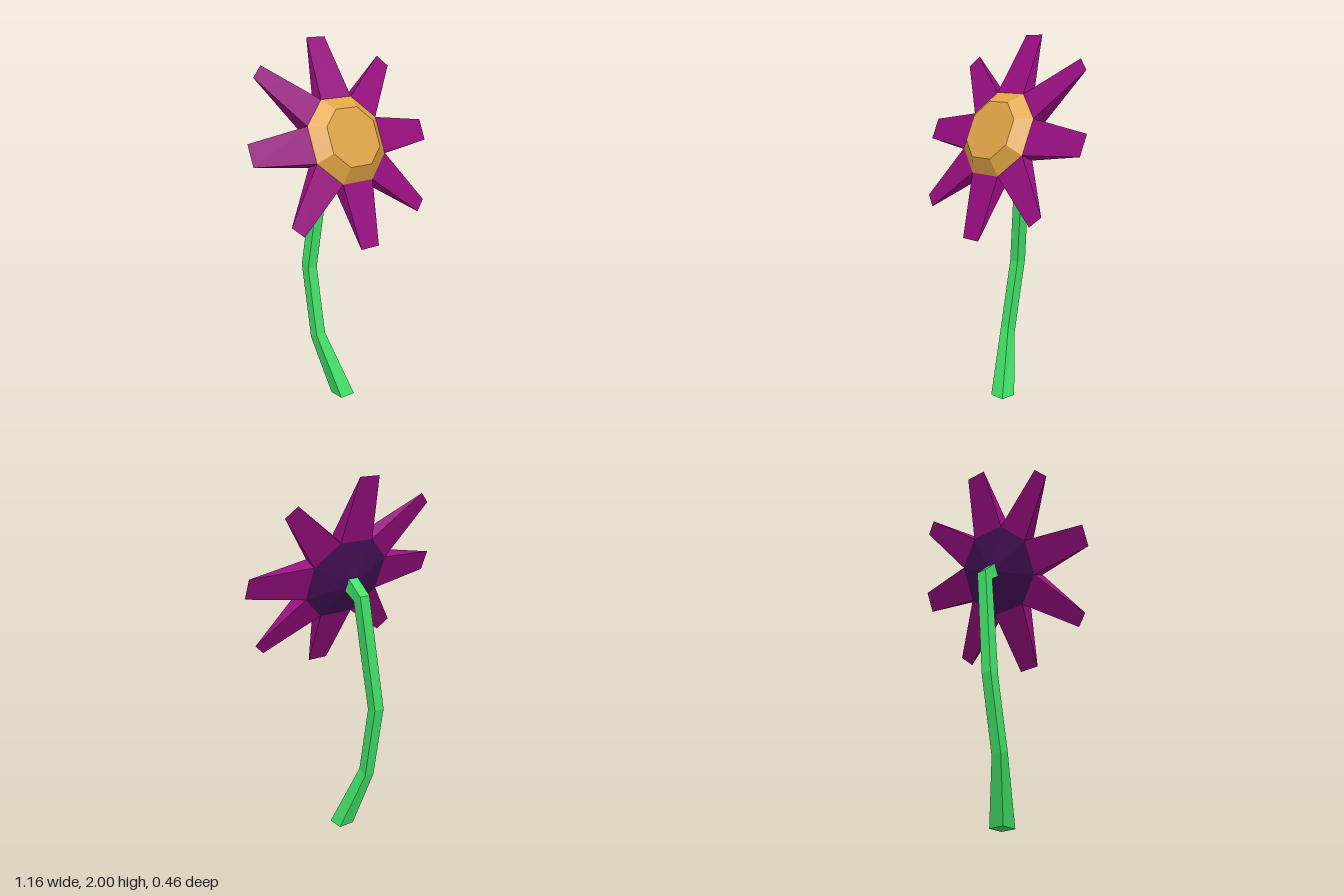
import * as THREE from 'three';

const mat = (name, color, flat = true) => {
  const m = new THREE.MeshStandardMaterial({ color, flatShading: flat });
  m.name = name;
  return m;
};

// Flat-faced mesh from polygons, each a list of [x, y, z] corners counter-clockwise
function facesMesh(name, material, polygons) {
  const pos = [];
  for (const p of polygons)
    for (let i = 1; i < p.length - 1; i++) pos.push(...p[0], ...p[i], ...p[i + 1]);
  const g = new THREE.BufferGeometry();
  g.setAttribute('position', new THREE.Float32BufferAttribute(pos, 3));
  g.computeVertexNormals();
  const mesh = new THREE.Mesh(g, material);
  mesh.name = name;
  return mesh;
}

// Quads joining two equal closed rings
const band = (a, b) => a.map((p, i) => {
  const j = (i + 1) % a.length;
  return [p, a[j], b[j], b[i]];
});

// Octagon ring, counter-clockwise seen from +z: apothem a, half edge h, depth z
function octagon(a, h, z) {
  const pts = [];
  for (let q = 0; q < 4; q++) {
    const c = [1, 0, -1, 0][q], s = [0, 1, 0, -1][q];
    for (const [x, y] of [[a, -h], [a, h]]) pts.push([x * c - y * s, x * s + y * c, z]);
  }
  return pts;
}

export function createModel() {
  const petalMat = mat('magenta', 0x980e80);
  const centreMat = mat('golden', 0xe2a546);
  const backMat = mat('deepPurple', 0x48115a);
  const stemMat = mat('green', 0x42e268);

  const model = new THREE.Group();
  model.name = 'flower';

  // Flower head, leaning back
  const head = new THREE.Group();
  head.name = 'flowerHead';
  head.position.y = 1.47;
  head.rotation.x = -0.412;
  model.add(head);

  const front = octagon(0.229, 0.1, 0.04);
  const back = octagon(0.229, 0.1, -0.04);
  const top = octagon(0.156, 0.07, 0.102);

  // Bevelled centre and pointed underside
  head.add(facesMesh('centre', centreMat, [top, ...band(front, top)]));
  head.add(facesMesh('underside', backMat,
    back.map((p, i) => [back[(i + 1) % 8], p, [0, 0, -0.104]])));

  // Wedge petals, one on each octagon edge, thinning to a sharp tip edge
  for (let i = 0; i < 8; i++) {
    const j = (i + 1) % 8, ang = (i * Math.PI) / 4;
    const [r, h] = i % 2 ? [0.592, 0.043] : [0.579, 0.06];
    const c = Math.cos(ang), s = Math.sin(ang);
    const t0 = [r * c + h * s, r * s - h * c, 0];
    const t1 = [r * c - h * s, r * s + h * c, 0];
    head.add(facesMesh('petal' + (i + 1), petalMat, [
      [front[i], t0, t1, front[j]],
      [back[j], t1, t0, back[i]],
      [front[i], back[i], t0],
      [front[j], t1, back[j]],
    ]));
  }

  // Bent square stem: x centre, half width, front edge (y, z), back edge (y, z)
  const rings = [
    [0, 0.046, 0, 0.046, 0, -0.046],
    [-0.085, 0.03, 0.36, -0.093, 0.33, -0.145],
    [-0.085, 0.03, 0.74, -0.165, 0.75, -0.225],
    [-0.01, 0.03, 1.353, -0.13, 1.385, -0.186],
    [0, 0.03, 1.395, -0.07, 1.465, -0.1],
  ].map(([x, h, yf, zf, yb, zb]) =>
    [[x - h, yf, zf], [x + h, yf, zf], [x + h, yb, zb], [x - h, yb, zb]]);
  const stemFaces = [[...rings[0]].reverse(), rings[4]];
  for (let i = 0; i < 4; i++) stemFaces.push(...band(rings[i], rings[i + 1]));
  model.add(facesMesh('stem', stemMat, stemFaces));

  return model;
}
